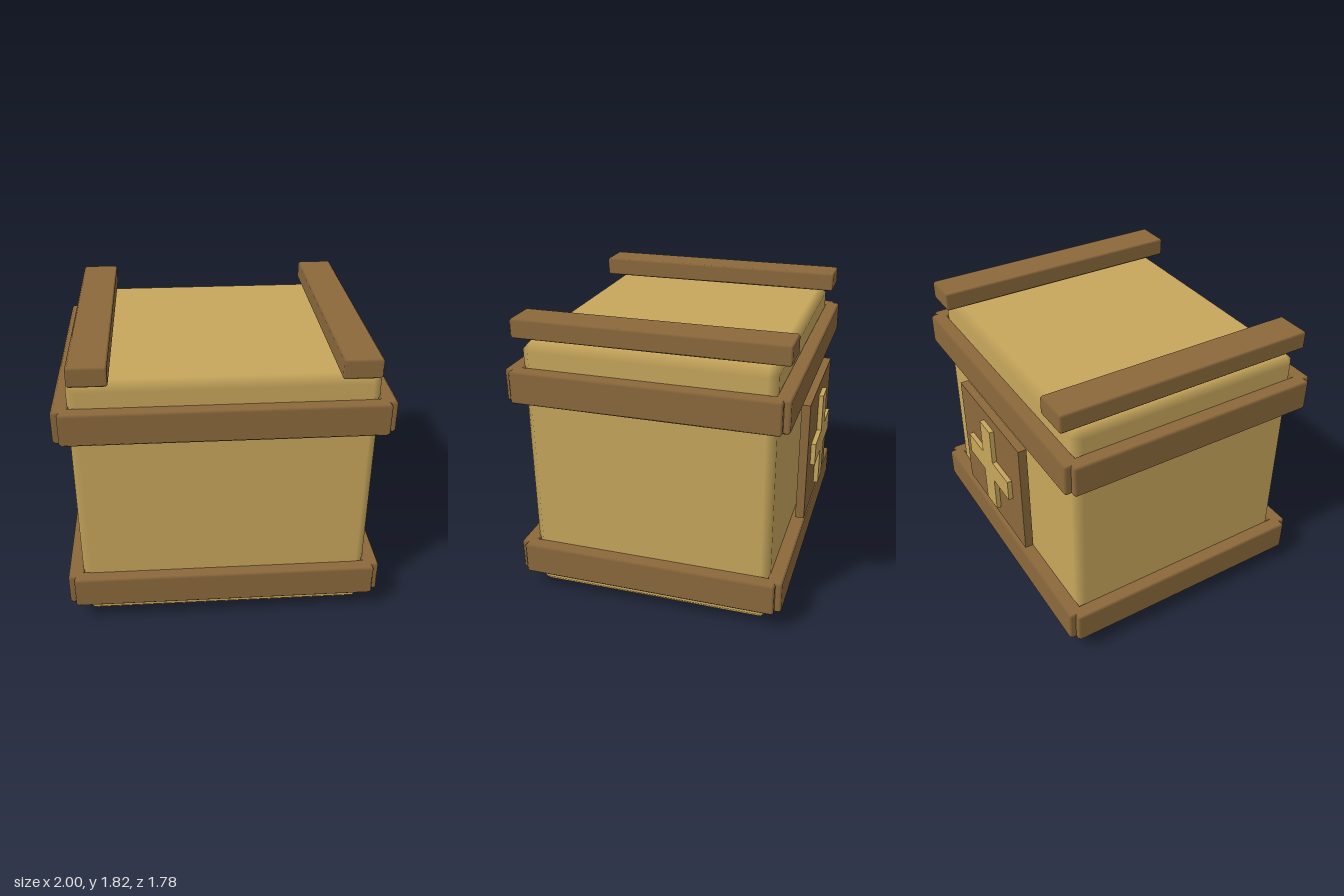
import * as THREE from 'three';
import { ConvexGeometry } from 'three/addons/geometries/ConvexGeometry.js';

const sand = new THREE.MeshStandardMaterial({ name: 'sand', color: 0xc8a75c });
const brown = new THREE.MeshStandardMaterial({ name: 'brown', color: 0x8c693c });

// Box with one chamfer on every edge, shaded smoothly from face to face
function chamferBox(w, h, d, c) {
  const half = [w / 2, h / 2, d / 2];
  const points = [];
  for (const x of [-1, 1]) for (const y of [-1, 1]) for (const z of [-1, 1]) {
    for (let axis = 0; axis < 3; axis++) {
      const p = [x, y, z].map((s, i) => s * (half[i] - (i === axis ? 0 : c)));
      points.push(new THREE.Vector3(...p));
    }
  }
  const geo = new ConvexGeometry(points);
  const pos = geo.attributes.position, normal = geo.attributes.normal;
  for (let i = 0; i < pos.count; i++) {
    const p = [pos.getX(i), pos.getY(i), pos.getZ(i)];
    const n = p.map((v, k) => (Math.abs(Math.abs(v) - half[k]) < 1e-4 ? Math.sign(v) : 0));
    normal.setXYZ(i, ...n);
  }
  return geo;
}

// Adds a box given by its limits on each axis
function addBox(parent, name, material, [x0, x1], [y0, y1], [z0, z1], c = 0) {
  const size = [x1 - x0, y1 - y0, z1 - z0];
  const geo = c ? chamferBox(...size, c) : new THREE.BoxGeometry(...size);
  const mesh = new THREE.Mesh(geo, material);
  mesh.name = name;
  mesh.position.set((x0 + x1) / 2, (y0 + y1) / 2, (z0 + z1) / 2);
  parent.add(mesh);
  return mesh;
}

export function createModel() {
  const model = new THREE.Group();
  model.name = 'supplyCrate';

  addBox(model, 'body', sand, [-0.91, 0.91], [0, 1.69], [-0.74, 0.81], 0.055);

  // Two bands, each of four planks
  for (const [name, y] of [['lowerBand', [0.13, 0.34]], ['upperBand', [1.33, 1.535]]]) {
    const band = new THREE.Group();
    band.name = name;
    addBox(band, 'frontPlank', brown, [-0.96, 0.96], y, [0.79, 0.89], 0.014);
    addBox(band, 'backPlank', brown, [-0.96, 0.96], y, [-0.83, -0.73], 0.014);
    addBox(band, 'leftPlank', brown, [0.9, 1], y, [-0.79, 0.85], 0.014);
    addBox(band, 'rightPlank', brown, [-1, -0.9], y, [-0.79, 0.85], 0.014);
    model.add(band);
  }

  // Slats over the lid
  addBox(model, 'leftLidSlat', brown, [0.655, 0.885], [1.7, 1.82], [-0.81, 0.875], 0.012);
  addBox(model, 'rightLidSlat', brown, [-0.89, -0.66], [1.7, 1.82], [-0.81, 0.875], 0.012);

  // Plaque with a raised cross on the back
  addBox(model, 'plaque', brown, [-0.43, 0.43], [0.5, 1.29], [-0.86, -0.805]);
  const a = 0.073, r = 0.293, s = 0.317;
  const outline = [[a, s], [-a, s], [-a, a], [-r, a], [-r, -a], [-a, -a],
    [-a, -s], [a, -s], [a, -a], [r, -a], [r, a], [a, a]];
  const shape = new THREE.Shape(outline.map(([x, y]) => new THREE.Vector2(x, y)));
  const cross = new THREE.Mesh(
    new THREE.ExtrudeGeometry(shape, { depth: 0.03, bevelEnabled: false }), sand);
  cross.name = 'cross';
  cross.position.set(0, 0.895, -0.89);
  model.add(cross);

  return model;
}
